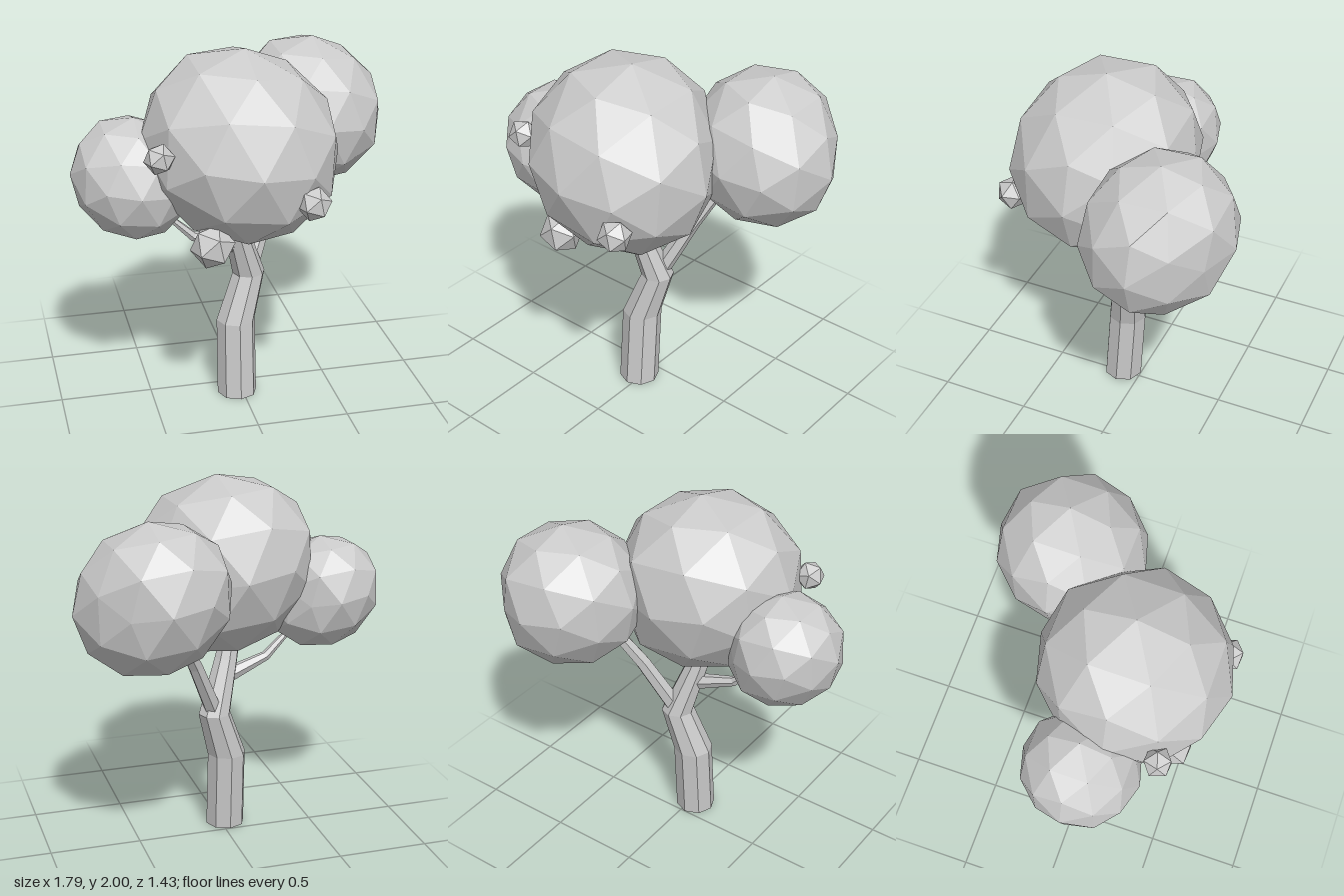
import * as THREE from 'three';

const material = new THREE.MeshStandardMaterial({ color: 0xcccccc, flatShading: true });
const barkMaterial = new THREE.MeshStandardMaterial({ color: 0xcccccc, flatShading: true, side: THREE.DoubleSide });
const UP = new THREE.Vector3(0, 1, 0);

// Open-ended faceted limb through rings of [x, y, z, radius]; level keeps the rings horizontal
function limb(name, rings, sides, level) {
  const n = rings.length - 1;
  const geo = new THREE.CylinderGeometry(1, 1, 1, sides, n, true);
  const centres = rings.map(([x, y, z]) => new THREE.Vector3(x, y, z));
  const turns = centres.map((c, i) => {
    const along = centres[Math.min(i + 1, n)].clone().sub(centres[Math.max(i - 1, 0)]).normalize();
    return new THREE.Quaternion().setFromUnitVectors(UP, level ? UP : along);
  });
  const pos = geo.attributes.position;
  const v = new THREE.Vector3();
  for (let i = 0; i < pos.count; i++) {
    v.fromBufferAttribute(pos, i);
    const row = Math.round((v.y + 0.5) * n);
    v.setY(0).multiplyScalar(rings[row][3]).applyQuaternion(turns[row]).add(centres[row]);
    pos.setXYZ(i, v.x, v.y, v.z);
  }
  geo.computeVertexNormals();
  const mesh = new THREE.Mesh(geo, barkMaterial);
  mesh.name = name;
  return mesh;
}

// Crowns lean slightly towards the upper back and are flatter on the back left side
const skews = [
  [new THREE.Vector3(-0.5, 0.7, -0.5).normalize(), 0.055],
  [new THREE.Vector3(0.5, 0.7, 0.5).normalize(), -0.05],
];
const flatSide = new THREE.Vector3(1, 0, -1).normalize();

function crown(name, centre, size) {
  const geo = new THREE.IcosahedronGeometry(1, 1).rotateY(Math.PI / 2).rotateZ(-0.09);
  const pos = geo.attributes.position;
  const v = new THREE.Vector3();
  for (let i = 0; i < pos.count; i++) {
    v.fromBufferAttribute(pos, i);
    for (const [axis, amount] of skews) v.addScaledVector(axis, v.dot(axis) * amount);
    v.addScaledVector(flatSide, -0.7 * Math.max(0, v.dot(flatSide) - 0.83));
    pos.setXYZ(i, v.x, v.y, v.z);
  }
  geo.scale(...size).translate(...centre);
  geo.computeVertexNormals();
  const mesh = new THREE.Mesh(geo, material);
  mesh.name = name;
  return mesh;
}

function tuft(name, x, y, z, radius) {
  const geo = new THREE.IcosahedronGeometry(radius, 0).rotateY(0.3).rotateZ(0.2);
  const mesh = new THREE.Mesh(geo, material);
  mesh.position.set(x, y, z);
  mesh.name = name;
  return mesh;
}

export function createModel() {
  const tree = new THREE.Group();
  tree.name = 'tree';

  // Bent trunk, running up into the main crown
  tree.add(limb('trunk', [
    [-0.028, 0, 0.11, 0.11],
    [-0.028, 0.44, 0.08, 0.108],
    [0.052, 0.7, 0.043, 0.09],
    [-0.035, 1.0, 0.105, 0.066],
    [-0.08, 1.2, 0.14, 0.05],
  ], 8, true));

  // Side branches
  tree.add(limb('leftSideBranch', [
    [0.06, 0.72, 0.03, 0.05],
    [0.195, 1.03, -0.085, 0.042],
    [0.32, 1.28, -0.2, 0.034],
  ], 6, false));
  tree.add(limb('rightSideBranch', [
    [0.0, 0.88, 0.09, 0.048],
    [-0.27, 0.975, 0.12, 0.027],
    [-0.43, 1.13, 0.13, 0.015],
  ], 6, false));

  // Crowns
  tree.add(crown('mainCrown', [-0.03, 1.5, 0.197], [0.525, 0.505, 0.51]));
  tree.add(crown('leftCrown', [0.478, 1.495, -0.322], [0.412, 0.405, 0.4]));
  tree.add(crown('rightCrown', [-0.58, 1.33, 0.095], [0.322, 0.32, 0.312]));

  // Small leaf tufts
  tree.add(tuft('upperTuft', -0.5, 1.555, 0.465, 0.08));
  tree.add(tuft('frontTuft', 0.25, 1.31, 0.615, 0.09));
  tree.add(tuft('lowerTuft', -0.24, 1.07, 0.48, 0.118));

  return tree;
}
